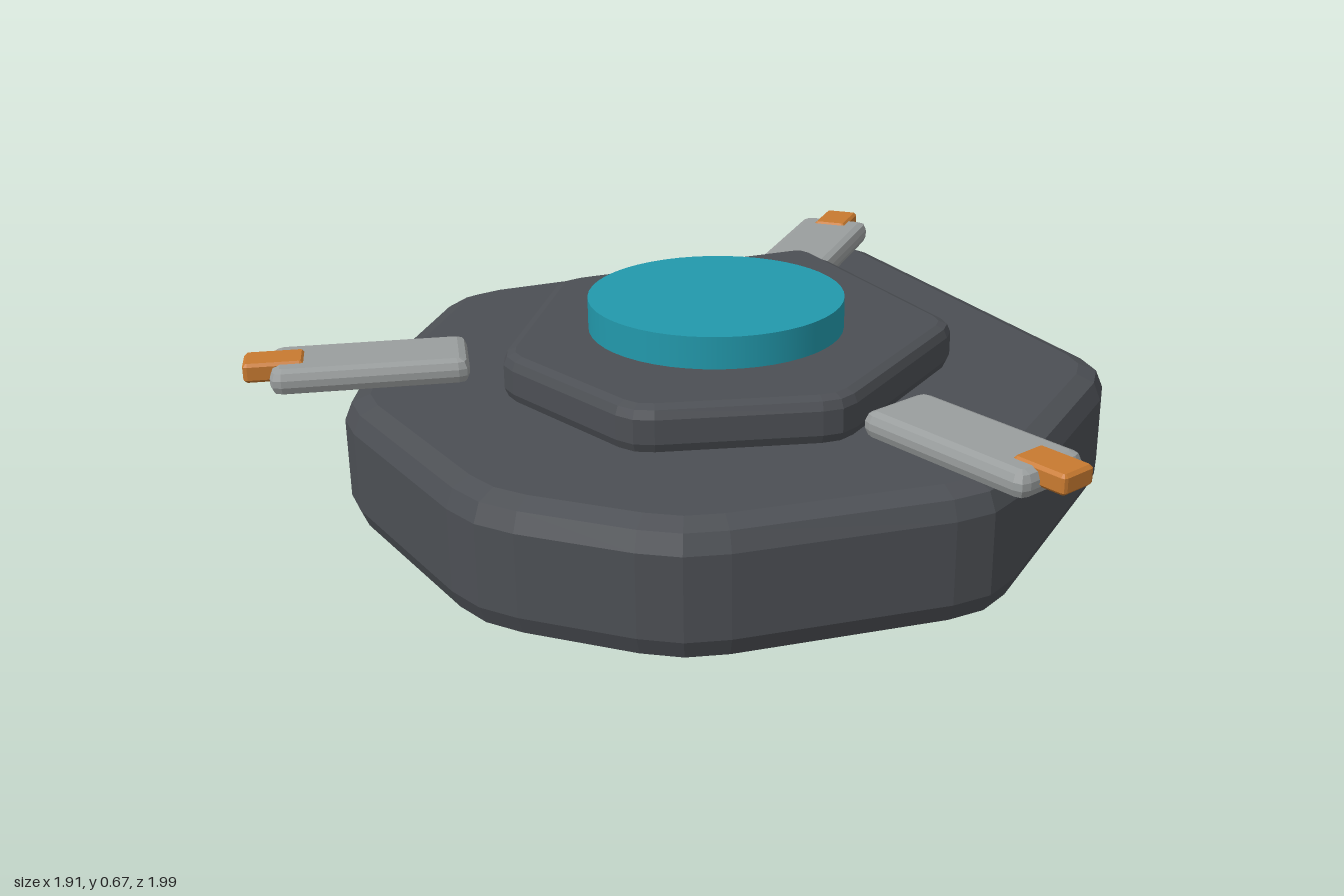
import * as THREE from 'three';

const mat = (name, color, flatShading = true) => {
  const m = new THREE.MeshStandardMaterial({ color, flatShading });
  m.name = name;
  return m;
};

// Mirrors the right-hand corners and softens each one with a short curve
function outline(right, cut) {
  const left = right.filter(p => p[0] > 0).reverse().map(([x, z]) => [-x, z]);
  const pts = [...right, ...left].map(p => new THREE.Vector2(...p));
  const out = [];
  pts.forEach((p, i) => {
    const prev = pts[(i + pts.length - 1) % pts.length];
    const next = pts[(i + 1) % pts.length];
    const a = p.clone().add(prev.clone().sub(p).setLength(cut));
    const b = p.clone().add(next.clone().sub(p).setLength(cut));
    out.push(...new THREE.QuadraticBezierCurve(a, p, b).getPoints(2));
  });
  return new THREE.Shape(out);
}

// Bevelled plate whose shape lies in x/z, between two heights
function plate(shape, y0, y1, bevel, segments = 2) {
  const g = new THREE.ExtrudeGeometry(shape, {
    depth: y1 - y0 - 2 * bevel, bevelEnabled: true, bevelThickness: bevel,
    bevelSize: bevel, bevelOffset: -bevel, bevelSegments: segments, curveSegments: 2,
  });
  g.rotateX(Math.PI / 2);
  g.translate(0, y1 - bevel, 0);
  return g;
}

const rect = (w, z0, z1, cut) =>
  outline([[w / 2, z0], [w / 2, z1]], cut);

export function createModel() {
  const group = new THREE.Group();
  const shell = mat('charcoal shell', 0x4c4f54);
  const dark = mat('dark base', 0x1c2828, false);
  const teal = mat('teal button', 0x2299ac, false);
  const cyan = mat('bright cyan lens', 0x4cc4d4, false);
  const silver = mat('silver arm', 0x9a9e9e);
  const orange = mat('orange tip', 0xc87a30);
  const hubZ = 0.165;

  const add = (name, geometry, material, parent = group) => {
    const mesh = new THREE.Mesh(geometry, material);
    mesh.name = name;
    parent.add(mesh);
    return mesh;
  };
  const disc = (name, r, y0, y1, material) => {
    const g = new THREE.CylinderGeometry(r, r, y1 - y0, 48);
    add(name, g, material).position.set(0, (y0 + y1) / 2, hubZ);
  };

  // Faceted body and the raised plate on it
  const body = outline([[0, -1.025], [0.885, -0.2], [0.775, 0.6], [0.23, 1]], 0.1);
  add('body', plate(body, 0.165, 0.475, 0.06), shell);
  const raised = outline([[0, -0.555], [0.52, -0.08], [0.41, 0.485], [0, 0.695]], 0.05);
  add('raisedPlate', plate(raised, 0.47, 0.582, 0.028), shell);

  // Round parts above and below
  disc('topButton', 0.3, 0.595, 0.67, teal);
  disc('baseRing', 0.5, 0.048, 0.2, dark);
  disc('bottomLens', 0.35, 0, 0.06, cyan);

  // Three arms spread evenly around the hub
  for (let i = 0; i < 3; i++) {
    const arm = new THREE.Group();
    arm.name = ['backArm', 'rightArm', 'leftArm'][i];
    arm.position.z = hubZ;
    arm.rotation.y = i * Math.PI * 2 / 3;
    add('armBar', plate(rect(0.19, -1.02, -0.58, 0.025), 0.52, 0.58, 0.022), silver, arm);
    add('armTip', plate(rect(0.09, -1.08, -0.945, 0.01), 0.54, 0.585, 0.007, 1), orange, arm);
    group.add(arm);
  }
  return group;
}
